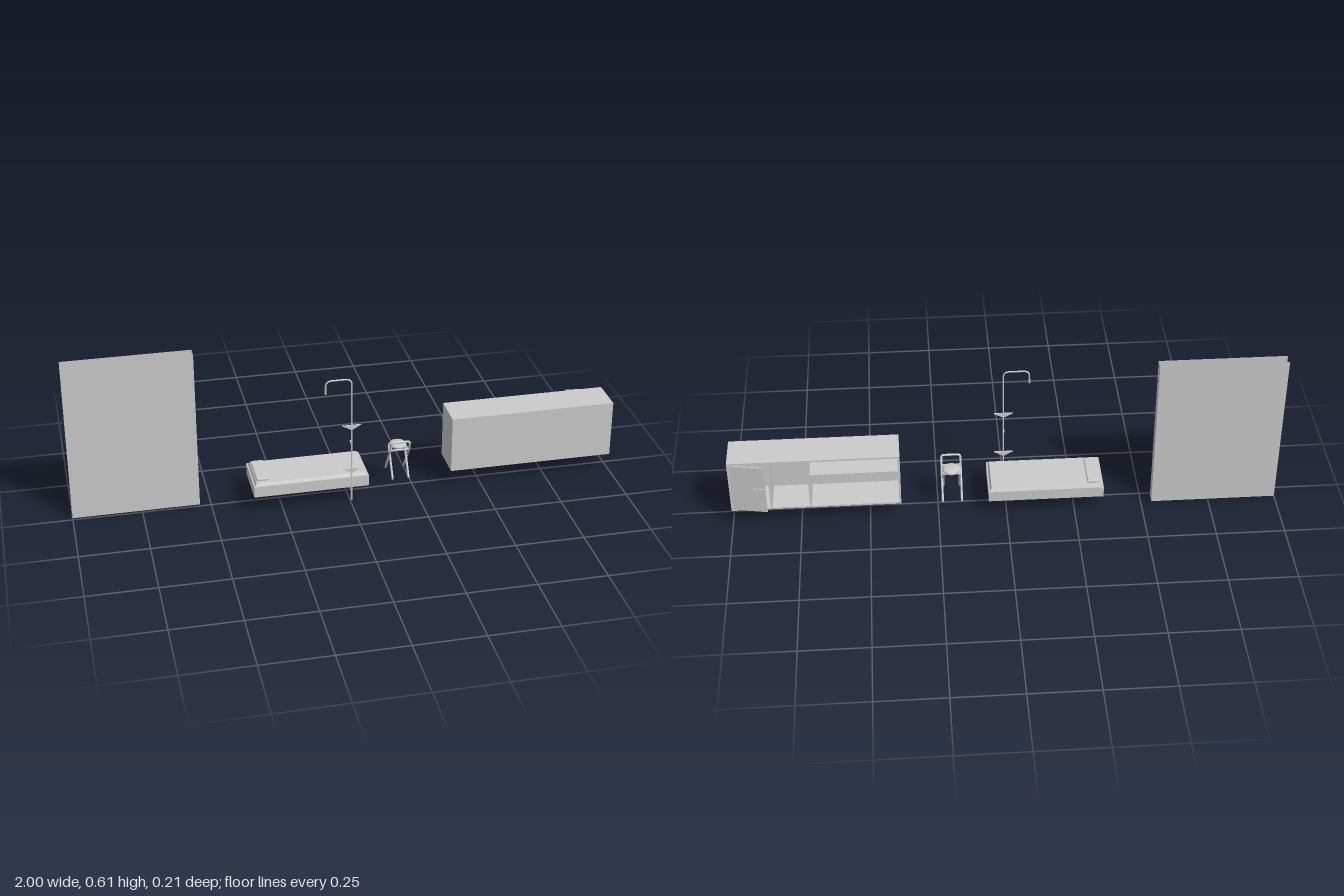
import * as THREE from 'three';
import { RoundedBoxGeometry } from 'three/addons/geometries/RoundedBoxGeometry.js';

const grey = new THREE.MeshStandardMaterial({ color: 0xcccccc, side: THREE.DoubleSide });
const V = (x, y, z) => new THREE.Vector3(x, y, z);

function add(parent, name, geometry, x = 0, y = 0, z = 0) {
  const mesh = new THREE.Mesh(geometry, grey);
  mesh.name = name;
  mesh.position.set(x, y, z);
  parent.add(mesh);
  return mesh;
}

// Box given by its limits on each axis
function box(parent, name, [x0, x1], [y0, y1], [z0, z1]) {
  return add(parent, name, new THREE.BoxGeometry(x1 - x0, y1 - y0, z1 - z0),
    (x0 + x1) / 2, (y0 + y1) / 2, (z0 + z1) / 2);
}

// Round bar through points, with each inner corner rounded off by r
function bar(parent, name, pts, radius, r = 0.015) {
  const path = new THREE.CurvePath();
  let from = pts[0];
  for (let i = 1; i < pts.length - 1; i++) {
    const a = pts[i].clone().add(pts[i - 1].clone().sub(pts[i]).setLength(r));
    const b = pts[i].clone().add(pts[i + 1].clone().sub(pts[i]).setLength(r));
    path.add(new THREE.LineCurve3(from, a));
    path.add(new THREE.QuadraticBezierCurve3(a, pts[i], b));
    from = b;
  }
  path.add(new THREE.LineCurve3(from, pts[pts.length - 1]));
  const g = new THREE.Group();
  g.name = name;
  path.curves.forEach((c) => {
    const steps = c.isLineCurve3 ? 1 : 8;
    add(g, name + 'Section', new THREE.TubeGeometry(c, steps, radius, 10));
  });
  for (const p of [pts[0], pts[pts.length - 1]]) add(g, name + 'End', new THREE.SphereGeometry(radius, 10, 6), p.x, p.y, p.z);
  parent.add(g);
}

function group(parent, name) {
  const g = new THREE.Group();
  g.name = name;
  parent.add(g);
  return g;
}

// Hollow slab: two sheets joined along one side
function buildPanel(root) {
  const g = group(root, 'wallPanel');
  for (const [name, z] of [['frontSheet', -0.011], ['backSheet', -0.049]]) {
    const sheet = add(g, name, new THREE.PlaneGeometry(0.46, 0.606), -0.77, 0.303, z);
    if (name === 'backSheet') sheet.rotation.y = Math.PI;
  }
  add(g, 'sideSheet', new THREE.PlaneGeometry(0.038, 0.606), -0.54, 0.303, -0.03).rotation.y = Math.PI / 2;
}

function buildBed(root) {
  const g = group(root, 'bed');
  box(g, 'bedBase', [-0.355, 0.066], [0.065, 0.107], [-0.087, 0.093]);
  // Mattress narrows towards its top
  const mattress = new THREE.BoxGeometry(0.411, 0.01, 0.17);
  const p = mattress.attributes.position;
  for (let i = 0; i < p.count; i++) {
    if (p.getY(i) > 0) p.setXYZ(i, p.getX(i) * 0.97, p.getY(i), p.getZ(i) * 0.93);
  }
  mattress.computeVertexNormals();
  add(g, 'mattress', mattress, -0.1445, 0.112, 0.003);
  add(g, 'pillow', new RoundedBoxGeometry(0.046, 0.012, 0.137, 3, 0.005), -0.319, 0.121, 0);
}

function buildPole(root) {
  const g = group(root, 'hookedPole');
  bar(g, 'pole', [V(0, 0.017, 0.1), V(0, 0.507, 0.1), V(-0.094, 0.507, 0.1), V(-0.094, 0.463, 0.1)], 0.003, 0.022);
  add(g, 'hookTip', new THREE.CylinderGeometry(0.004, 0.004, 0.014, 10), -0.094, 0.463, 0.1);
  // Thin triangular brackets: wide pairs across, small ones pointing back
  const triangle = (a, b, c) => new THREE.ExtrudeGeometry(
    new THREE.Shape([a, b, c].map(([x, y]) => new THREE.Vector2(x, y))), { depth: 0.006, bevelEnabled: false });
  for (const y of [0.324, 0.148]) {
    add(g, 'wideBracket', triangle([-0.035, 0], [0, -0.019], [0.035, 0]), 0, y, 0.097);
  }
  for (const y of [0.252, 0.064]) {
    const b = add(g, 'backBracket', triangle([0, 0], [0, -0.011], [0.021, 0]), -0.003, y, 0.1);
    b.rotation.y = Math.PI / 2;
  }
}

function buildStool(root) {
  const g = group(root, 'foldingStool');
  g.position.x = 0.198;
  const w = 0.035, inner = 0.03, r = 0.0042;
  // Long frame: rear feet up to the front handle
  bar(g, 'handleFrame', [V(-w, 0.049, -0.053), V(-w, 0.16, 0.022), V(-w, 0.195, 0.033),
    V(w, 0.195, 0.033), V(w, 0.16, 0.022), V(w, 0.049, -0.053)], r, 0.011);
  // Short frame: front feet up to the rear of the seat
  bar(g, 'seatFrame', [V(-inner, 0.049, 0.039), V(-inner, 0.157, -0.031),
    V(inner, 0.157, -0.031), V(inner, 0.049, 0.039)], r, 0.008);
  bar(g, 'frontCrossbar', [V(-w, 0.158, 0.022), V(w, 0.158, 0.022)], 0.0035);
  for (const s of [-1, 1]) {
    bar(g, 'seatRail', [V(s * inner, 0.157, -0.031), V(s * inner, 0.158, 0.022)], 0.003);
  }
  const seat = [[0, 0.157], [0.028, 0.157], [0.032, 0.161], [0.032, 0.165], [0.028, 0.17], [0, 0.172]];
  add(g, 'seat', new THREE.LatheGeometry(seat.map(([x, y]) => new THREE.Vector2(x, y)), 24), 0, 0, -0.013);
}

function buildCabinet(root) {
  const g = group(root, 'cabinet');
  const X = [0.385, 1], Y = [0.065, 0.28], Z = [-0.077, 0.057], t = 0.007;
  const inY = [Y[0] + t, Y[1] - t], inZ = [Z[0], Z[1] - t];
  box(g, 'frontWall', X, Y, [Z[1] - t, Z[1]]);
  box(g, 'floor', X, [Y[0], inY[0]], inZ);
  box(g, 'topBoard', X, [inY[1], Y[1]], inZ);
  box(g, 'rightEnd', [X[0], X[0] + t], inY, inZ);
  box(g, 'leftEnd', [X[1] - t, X[1]], inY, inZ);
  for (const x of [0.855, 0.713]) box(g, 'partition', [x - t / 2, x + t / 2], inY, inZ);
  box(g, 'shelf', [X[0] + t, 0.7095], [0.208, 0.215], inZ);
  // Door ajar, hinged near the left end and opening backwards
  const door = group(g, 'door');
  door.position.set(0.99, 0, -0.076);
  door.rotation.y = -0.18;
  box(door, 'doorLeaf', [-0.124, 0], [0.072, 0.272], [-0.003, 0.002]);
  box(door, 'handleStem', [-0.115, -0.11], [0.174, 0.18], [-0.007, -0.003]);
  box(door, 'handleLever', [-0.126, -0.08], [0.174, 0.18], [-0.009, -0.006]);
}

export function createModel() {
  const root = new THREE.Group();
  root.name = 'roomFurniture';
  for (const build of [buildPanel, buildBed, buildPole, buildStool, buildCabinet]) build(root);
  return root;
}
